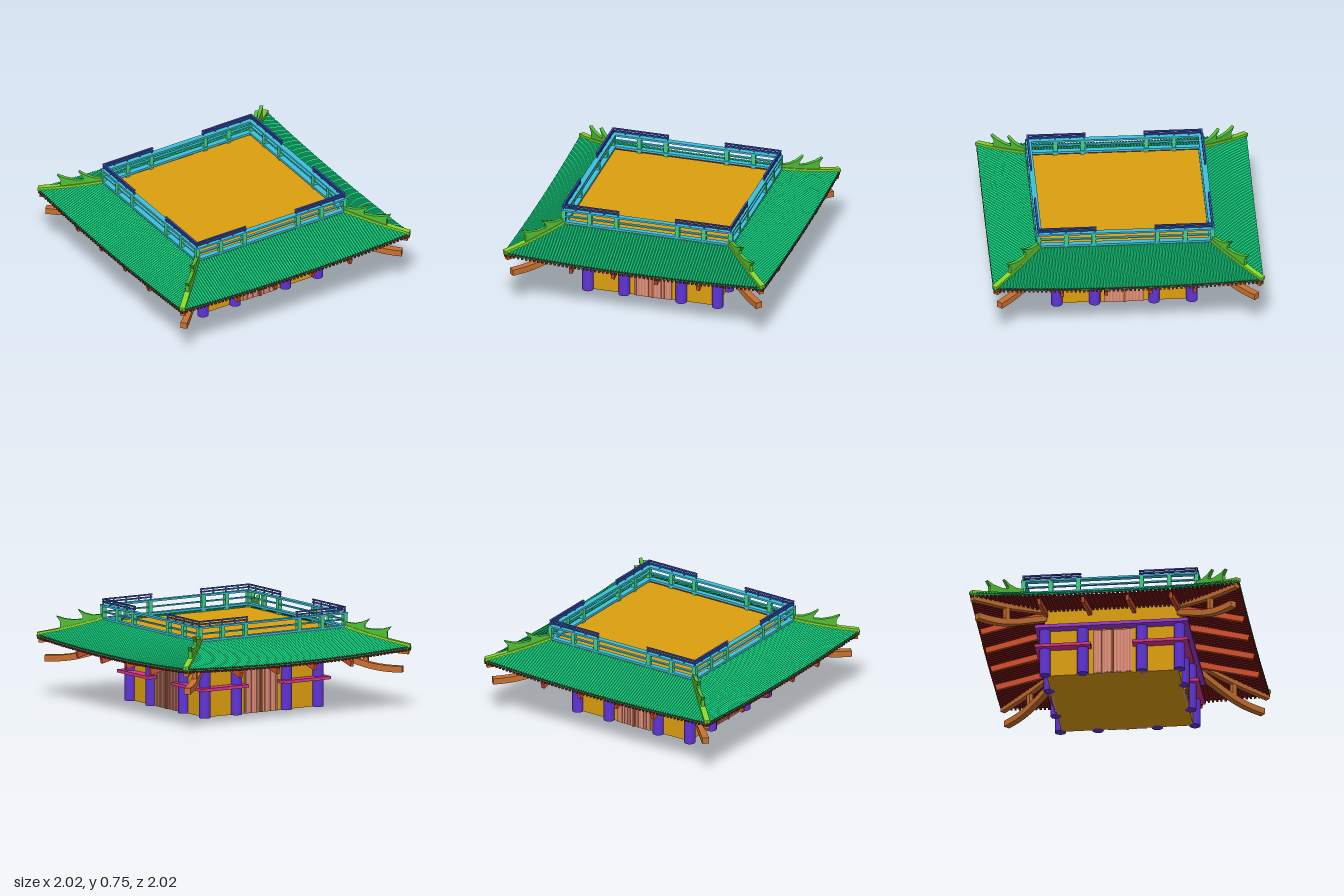
import * as THREE from 'three';

const mat = (color, extra = {}) => new THREE.MeshStandardMaterial({ color, ...extra });
const M = {
  wall: mat(0xdc9f0e), column: mat(0x5f33d6), beam: mat(0xa03ad8), tie: mat(0xd8358a),
  door: mat(0xe09a78), plank: mat(0xd87f72), doorPost: mat(0x9a5a30),
  tile: mat(0x10c878, { flatShading: true, side: THREE.DoubleSide }),
  soffit: mat(0x8c1c1c, { flatShading: true, side: THREE.DoubleSide }),
  outrigger: mat(0xd2502c), bracket: mat(0xc87030),
  rail: mat(0x3cc0dc), railPost: mat(0x40d088), handrail: mat(0x3a50b8),
  ridge: mat(0x84d628), horn: mat(0x50c034),
};

function add(group, name, geometry, material, x = 0, y = 0, z = 0) {
  const mesh = new THREE.Mesh(geometry, material);
  mesh.name = name;
  mesh.position.set(x, y, z);
  group.add(mesh);
  return mesh;
}
// box given by its x, y and z ranges
function box(group, name, material, [x0, x1], [y0, y1], [z0, z1]) {
  return add(group, name, new THREE.BoxGeometry(x1 - x0, y1 - y0, z1 - z0), material,
    (x0 + x1) / 2, (y0 + y1) / 2, (z0 + z1) / 2);
}

// roof heights at offset x along the eave and distance d from the centre
const TOP = 0.66;
function roofY(x, d) {
  const t = (d - TOP) / (1 - TOP);
  const hip = 0.59 - 0.125 * (1.25 * t - 0.25 * t * t);
  return hip - 0.03 * t * (1 - (x / d) ** 2);
}
const soffitY = (x, d) => 0.53 - 0.21 * (d - 0.5) + 0.03 * (2 * d - 1) * ((x / d) ** 2);

// one roof slope made of parallel ribs, mitred along the hips
function ribbedSlope(count, inner, height, profile) {
  const pos = [], index = [], steps = 6, pitch = 2 / count, n = profile.length;
  for (let k = 0; k < count; k++) {
    const base = pos.length / 3;
    for (let s = 0; s <= steps; s++) {
      for (const [px, h] of profile) {
        const x = -1 + (k + 0.5 + px) * pitch;
        const start = Math.max(inner, Math.abs(x));
        const d = start + (1 - start) * s / steps;
        pos.push(x, height(x, d) + h, d);
      }
    }
    for (let s = 0; s < steps; s++) {
      for (let i = 0; i < n - 1; i++) {
        const a = base + s * n + i, b = a + n;
        index.push(a, b, a + 1, a + 1, b, b + 1);
      }
    }
  }
  const g = new THREE.BufferGeometry();
  g.setAttribute('position', new THREE.Float32BufferAttribute(pos, 3));
  g.setIndex(index);
  g.computeVertexNormals();
  return g;
}

// upright slab in the corner's diagonal plane; outline points are [x, y] as seen from the front
function diagonalSlab(outline, width) {
  const shape = new THREE.Shape(outline.map(([x, y]) => new THREE.Vector2(x * Math.SQRT2, y)));
  const g = new THREE.ExtrudeGeometry(shape, { depth: width, bevelEnabled: false });
  return g.translate(0, 0, -width / 2).rotateY(-Math.PI / 4);
}
// outline of a bent bar from its centre line
function bar(points, thickness) {
  const curve = new THREE.CatmullRomCurve3(points.map(([x, y]) => new THREE.Vector3(x, y, 0)));
  const line = curve.getPoints(14);
  return [...line.map(p => [p.x, p.y - thickness / 2]),
    ...line.reverse().map(p => [p.x, p.y + thickness / 2])];
}

function makeSide() {
  const side = new THREE.Group();
  side.name = 'side';

  // double door of vertical planks
  box(side, 'door', M.door, [-0.145, 0.145], [0, 0.35], [0.48, 0.5]);
  for (let i = 0; i < 12; i++) {
    const x = -0.132 + i * 0.024;
    box(side, 'doorPlank', M.plank, [x - 0.006, x + 0.006], [0.005, 0.345], [0.495, 0.505]);
  }
  box(side, 'doorPost', M.doorPost, [-0.008, 0.008], [0, 0.35], [0.49, 0.51]);

  // columns; the corner one comes from one end only
  for (const x of [-0.22, 0.22, 0.5]) {
    add(side, 'column', new THREE.CylinderGeometry(0.042, 0.042, 0.37, 20), M.column, x, 0.185, 0.5);
  }

  // tie beams to both corners
  for (const s of [-1, 1]) {
    const range = s > 0 ? [0.155, 0.57] : [-0.57, -0.155];
    box(side, 'tieBeam', M.tie, range, [0.205, 0.228], [0.45, 0.57]);
  }

  // tiled slope, eave edge and rafters
  const tile = [0, 1, 2, 3, 4].map(i => [i / 4 - 0.5, 0.012 * Math.sin(Math.PI * i / 4)]);
  add(side, 'roofTiles', ribbedSlope(93, TOP, roofY, tile), M.tile);
  const rafter = [[-0.5, 0], [-0.25, 0], [-0.25, -0.016], [0.25, -0.016], [0.25, 0], [0.5, 0]];
  add(side, 'rafters', ribbedSlope(64, 0.49, soffitY, rafter), M.soffit);
  const edge = new THREE.PlaneGeometry(2, 1, 24, 1), p = edge.attributes.position;
  for (let i = 0; i < p.count; i++) {
    const x = p.getX(i);
    p.setY(i, p.getY(i) > 0 ? roofY(x, 1) : soffitY(x, 1));
  }
  add(side, 'eaveEdge', edge, M.tile, 0, 0, 0.998);

  // sloping beams that carry the eave
  for (const x of [-0.49, -0.165, 0.165, 0.49]) {
    const m = add(side, 'outrigger', new THREE.BoxGeometry(0.026, 0.045, 0.5), M.outrigger, x, 0.44, 0.735);
    m.rotation.x = 0.235;
  }

  // balustrade
  box(side, 'bottomRail', M.rail, [-0.66, 0.66], [0.597, 0.614], [0.618, 0.66]);
  box(side, 'middleRail', M.rail, [-0.65, 0.65], [0.65, 0.66], [0.632, 0.652]);
  box(side, 'topRail', M.rail, [-0.66, 0.66], [0.696, 0.71], [0.618, 0.66]);
  for (const x of [-0.44, -0.235, 0.235, 0.44, 0.645]) {
    box(side, 'railPost', M.railPost, [x - 0.016, x + 0.016], [0.58, 0.7], [0.626, 0.658]);
  }
  // raised handrails near the corners
  for (const s of [-1, 1]) {
    for (const y of [0.728, 0.748]) {
      const r = s > 0 ? [0.215, 0.651] : [-0.651, -0.215];
      box(side, 'handrail', M.handrail, r, [y - 0.005, y + 0.005], [0.637, 0.651]);
    }
    for (const x of [0.225, 0.33, 0.44, 0.55, 0.644]) {
      box(side, 'handrailPost', M.handrail, [s * x - 0.004, s * x + 0.004], [0.705, 0.75], [0.64, 0.648]);
    }
  }

  // hip ridge with two upturned horns
  const hip = [0.645, 0.73, 0.82, 0.91, 0.995].map(d => [d, roofY(d, d) + 0.008]);
  add(side, 'hipRidge', diagonalSlab(bar(hip, 0.026), 0.042), M.ridge);
  add(side, 'lowerHorn', diagonalSlab([[0.875, 0.5], [0.872, 0.575], [0.893, 0.613], [0.85, 0.596],
    [0.8, 0.59], [0.755, 0.598], [0.72, 0.615], [0.745, 0.575], [0.765, 0.53]], 0.026), M.horn);
  add(side, 'upperHorn', diagonalSlab([[0.755, 0.54], [0.752, 0.62], [0.778, 0.668], [0.74, 0.642],
    [0.7, 0.63], [0.66, 0.635], [0.635, 0.655], [0.65, 0.58]], 0.026), M.horn);

  // corner beams below the hip
  add(side, 'hipRafter', diagonalSlab(bar([[0.5, 0.52], [0.75, 0.46], [0.985, 0.432]], 0.04), 0.04), M.bracket);
  add(side, 'curvedBracket', diagonalSlab(bar([[0.5, 0.46], [0.6, 0.405], [0.7, 0.352], [0.8, 0.314],
    [0.88, 0.3], [0.953, 0.297]], 0.047), 0.05), M.bracket);
  add(side, 'bracketStrut', diagonalSlab([[0.745, 0.33], [0.77, 0.33], [0.77, 0.46], [0.745, 0.46]], 0.035), M.bracket);
  return side;
}

export function createModel() {
  const model = new THREE.Group();
  model.name = 'pavilionStorey';
  box(model, 'walls', M.wall, [-0.49, 0.49], [0, 0.56], [-0.49, 0.49]);
  box(model, 'upperWall', M.wall, [-0.505, 0.505], [0.385, 0.53], [-0.505, 0.505]);
  box(model, 'wallPlate', M.beam, [-0.57, 0.57], [0.36, 0.385], [-0.57, 0.57]);
  box(model, 'floor', M.wall, [-0.64, 0.64], [0.54, 0.58], [-0.64, 0.64]);

  const side = makeSide();
  for (let i = 0; i < 4; i++) {
    const copy = side.clone();
    copy.rotation.y = i * Math.PI / 2;
    model.add(copy);
  }
  return model;
}
